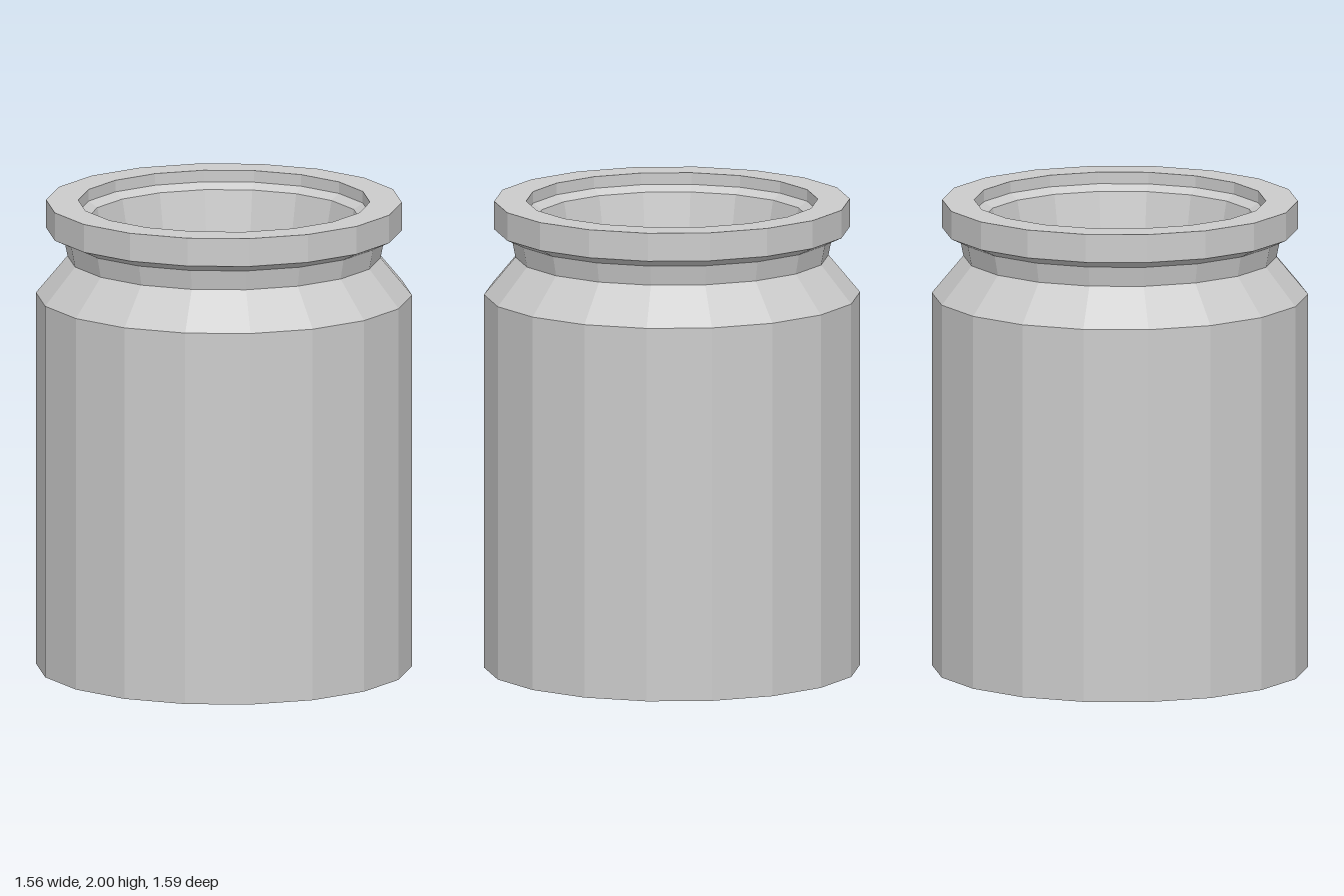
import * as THREE from 'three';

export function createModel() {
  const group = new THREE.Group();
  group.name = 'jar';
  const material = new THREE.MeshStandardMaterial({ color: 0xcccccc, flatShading: true });

  // Closed wall profile (radius, height): base, outside upward, rim, inside downward, floor
  const profile = [
    [0, 0], [0.793, 0], [0.793, 1.6],                 // base and outer wall
    [0.66, 1.76], [0.677, 1.845],                     // shoulder and neck
    [0.75, 1.88], [0.75, 2], [0.615, 2],              // lip
    [0.615, 1.95], [0.575, 1.925],                    // ledge inside the mouth
    [0.533, 1.71], [0.67, 1.55],                      // inner neck and shoulder
    [0.67, 0.12], [0, 0.12],                          // inner wall and floor
  ].map(([r, y]) => new THREE.Vector2(r, y));

  const jar = new THREE.Mesh(new THREE.LatheGeometry(profile, 18), material);
  jar.name = 'jarBody';
  group.add(jar);
  return group;
}
